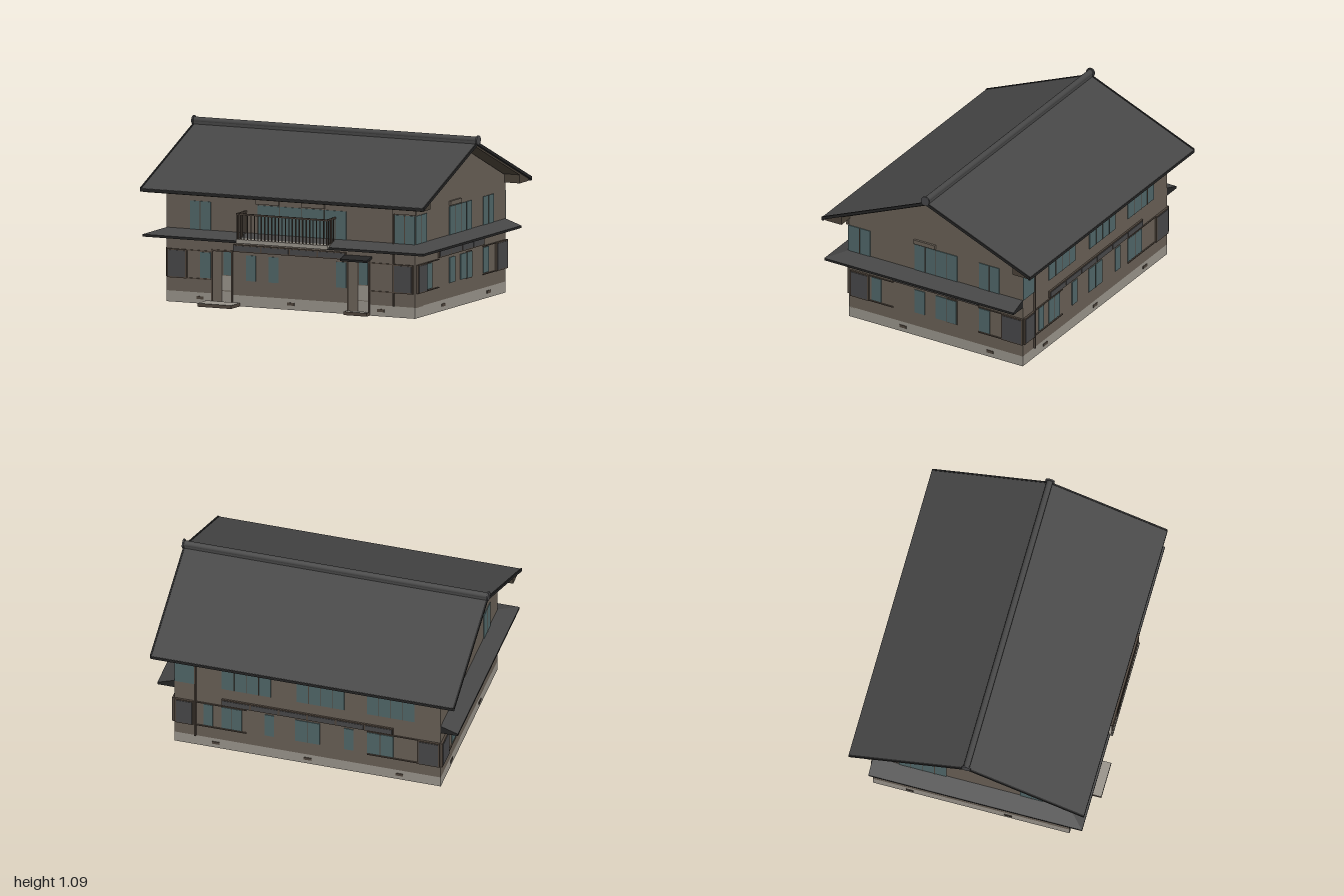
import * as THREE from 'three';

const mat = (name, color, extra = {}) => {
  const m = new THREE.MeshStandardMaterial({ color, ...extra });
  m.name = name;
  return m;
};

export function createModel() {
  const house = new THREE.Group();
  house.name = 'house';
  const wall = mat('wallBrown', 0x685f55);
  const trim = mat('trimBrown', 0x4f453c);
  const stone = mat('foundationGrey', 0x98938a);
  const roof = mat('roofGrey', 0x464646, { side: THREE.DoubleSide });
  const edge = mat('edgeBlack', 0x242424);
  const glass = mat('glassTeal', 0x506668);
  const shutter = mat('shutterGrey', 0x474749);
  const soffit = mat('soffitBrown', 0x4a4238, { side: THREE.DoubleSide });

  const X = 0.87, Z = 0.64;
  const add = (geo, m, name, parent = house) => {
    const mesh = new THREE.Mesh(geo, m);
    mesh.name = name;
    parent.add(mesh);
    return mesh;
  };
  // Box given by its limits on each axis
  const box = (x0, x1, y0, y1, z0, z1, m, name, parent) => {
    const mesh = add(new THREE.BoxGeometry(x1 - x0, y1 - y0, z1 - z0), m, name, parent);
    mesh.position.set((x0 + x1) / 2, (y0 + y1) / 2, (z0 + z1) / 2);
    return mesh;
  };
  const shapeOf = (pts) => new THREE.Shape(pts.map(([a, b]) => new THREE.Vector2(a, b)));
  const extrude = (shape, depth) => new THREE.ExtrudeGeometry(shape, { depth, bevelEnabled: false });
  // Symmetric (z, y) profile extruded along x
  const alongX = (pts, x0, x1, m, name) =>
    add(extrude(shapeOf(pts), x1 - x0).rotateY(Math.PI / 2).translate(x0, 0, 0), m, name);

  // Foundation, floor and front wall, open at the two doorways
  const doors = [[-0.55, -0.41], [0.40, 0.55]];
  const solid = [[-X, -0.55], [-0.41, 0.40], [0.55, X]];
  box(-X, X, 0, 0.07, -Z, -Z + 0.012, stone, 'foundationBack');
  for (const s of [-1, 1]) {
    const x = s * (X - 0.006);
    box(x - 0.006, x + 0.006, 0, 0.07, -Z, Z, stone, 'foundationSide');
  }
  box(-X + 0.01, X - 0.01, 0.066, 0.072, -Z + 0.01, 0.5, wall, 'floor');
  for (const [a, b] of solid) {
    box(a, b, 0, 0.07, Z - 0.012, Z, stone, 'foundationFront');
    box(a, b, 0.066, 0.072, 0.5, Z - 0.01, wall, 'floorFront');
  }
  add(extrude(shapeOf([[-X, 0.07], [-0.55, 0.07], [-0.55, 0.34], [-0.41, 0.34], [-0.41, 0.07], [0.40, 0.07],
    [0.40, 0.34], [0.55, 0.34], [0.55, 0.07], [X, 0.07], [X, 0.74], [-X, 0.74]]), 0.012)
    .translate(0, 0, Z - 0.012), wall, 'frontWall');
  box(-X, X, 0.07, 0.74, -Z, -Z + 0.012, wall, 'backWall');
  const gable = [[-Z, 0.07], [Z, 0.07], [Z, 0.745], [0, 1.015], [-Z, 0.745]];
  alongX(gable, -X, -X + 0.012, wall, 'gableWallRight');
  alongX(gable, X - 0.012, X, wall, 'gableWallLeft');

  // Crawl space: solid middle with a slot, and a ring of open cells
  const base = shapeOf([[-0.69, -0.46], [0.69, -0.46], [0.69, 0.46], [-0.69, 0.46]]);
  base.holes.push(new THREE.Path([[-0.07, -0.24], [-0.07, 0.24], [0.07, 0.24], [0.07, -0.24]]
    .map(([a, b]) => new THREE.Vector2(a, b))));
  add(extrude(base, 0.064).rotateX(Math.PI / 2).translate(0, 0.066, 0), [soffit, stone], 'underfloor');
  for (const z of [-0.08, 0.08]) box(-0.07, 0.07, 0.002, 0.066, z - 0.004, z + 0.004, stone, 'slotDivider');
  for (let i = 1; i < 10; i++) {
    const x = -X + i * 0.174;
    box(x - 0.004, x + 0.004, 0.002, 0.066, -Z + 0.01, -0.46, stone, 'cellWallBack');
    if (!doors.some(([a, b]) => x > a && x < b))
      box(x - 0.004, x + 0.004, 0.002, 0.066, 0.46, Z - 0.01, stone, 'cellWallFront');
  }
  for (let i = 1; i < 8; i++) for (const s of [-1, 1]) {
    const z = -Z + i * 0.16, x = s * 0.775;
    box(x - 0.085, x + 0.085, 0.002, 0.066, z - 0.004, z + 0.004, stone, 'cellWallSide');
  }

  // Recessed entrances
  for (const [a, b] of doors) {
    const g = new THREE.Group();
    g.name = 'entrance';
    house.add(g);
    box(a, b, 0, 0.165, 0.49, 0.5, stone, 'doorBase', g);
    box(a, b, 0.165, 0.34, 0.49, 0.5, wall, 'doorTop', g);
    box(a - 0.01, a, 0, 0.35, 0.49, Z - 0.001, wall, 'reveal', g);
    box(b, b + 0.01, 0, 0.35, 0.49, Z - 0.001, wall, 'reveal', g);
    box(a, b, 0.34, 0.35, 0.49, Z - 0.001, wall, 'doorHead', g);
    const mid = (a + b) / 2;
    box(a + 0.012, mid - 0.005, 0.17, 0.33, 0.5, 0.505, glass, 'doorGlass', g);
    box(mid + 0.005, b - 0.01, 0.17, 0.33, 0.5, 0.505, glass, 'doorGlass', g);
    for (const x of [a, b]) box(x - 0.004, x + 0.004, 0.02, 0.35, Z, Z + 0.008, trim, 'doorPost', g);
    box(a - 0.004, b + 0.004, 0.34, 0.35, Z, Z + 0.008, trim, 'lintel', g);
  }
  box(-0.59, -0.355, 0, 0.022, Z, 0.77, [trim, trim, stone, trim, trim, trim], 'entranceStep');
  box(0.395, 0.555, 0, 0.022, Z, 0.69, [trim, trim, stone, trim, trim, trim], 'sideStep');
  box(0.38, 0.57, 0.353, 0.367, Z, 0.715, edge, 'doorCanopy').rotation.x = 0.25;

  // Plates on the outside walls; u runs along x on front/back and z on the sides
  const plate = (side, u0, u1, y0, y1, t, m, name) => {
    const s = side === 'front' || side === 'left' ? 1 : -1;
    if (side === 'front' || side === 'back') {
      const z = s * (Z + t / 2);
      return box(u0, u1, y0, y1, z - t / 2, z + t / 2, m, name);
    }
    const x = s * (X + t / 2);
    return box(x - t / 2, x + t / 2, y0, y1, u0, u1, m, name);
  };
  const windowPane = (side, u0, u1, y0, y1, n = 2) => {
    plate(side, u0, u1, y0, y1, 0.005, glass, 'window');
    for (let i = 1; i < n; i++) {
      const u = u0 + (u1 - u0) * i / n;
      plate(side, u - 0.002, u + 0.002, y0, y1, 0.007, trim, 'mullion');
    }
  };
  const shutterBox = (side, u0, u1) => {
    plate(side, u0, u1, 0.155, 0.338, 0.014, trim, 'shutterFrame');
    plate(side, u0 + 0.008, u1 - 0.008, 0.163, 0.33, 0.017, shutter, 'shutterPanel');
  };
  const hood = (side, u0, u1) => plate(side, u0, u1, 0.657, 0.685, 0.014, wall, 'blindBox');
  const transom = (side, u0, u1, n) => {
    plate(side, u0, u1, 0.345, 0.392, 0.012, trim, 'transomFrame');
    const w = (u1 - u0) / n;
    for (let i = 0; i < n; i++)
      plate(side, u0 + i * w + 0.006, u0 + (i + 1) * w - 0.006, 0.352, 0.385, 0.015, shutter, 'transomPanel');
  };
  const rails = (side, u0, u1) => {
    for (const y of [0.157, 0.335]) plate(side, u0, u1, y - 0.003, y + 0.003, 0.008, trim, 'wallRail');
  };
  const vents = (side, list) => list.forEach((u) => plate(side, u - 0.025, u + 0.025, 0.028, 0.046, 0.004, trim, 'vent'));
  const upper = (side, list) => list.forEach(([a, b, n]) => windowPane(side, a, b, 0.47, 0.65, n));
  const lower = (side, list) => list.forEach(([a, b, n]) => windowPane(side, a, b, 0.165, 0.327, n));

  // Front
  upper('front', [[-0.705, -0.56, 2], [-0.23, 0.39, 4], [0.73, X, 2]]);
  lower('front', [[-0.635, -0.56, 1], [-0.31, -0.245, 1], [-0.155, -0.085, 1], [0.32, 0.39, 1]]);
  [[-0.24, -0.08], [0.08, 0.24], [0.715, 0.882]].forEach(([a, b]) => hood('front', a, b));
  shutterBox('front', -0.86, -0.725);
  shutterBox('front', 0.725, 0.86);
  transom('front', -0.40, 0.39, 4);
  rails('front', -0.725, -0.55);
  rails('front', 0.55, 0.725);
  vents('front', [-0.635, 0, 0.63]);
  plate('front', 0.717, 0.727, 0.07, 0.70, 0.012, trim, 'downpipe');

  // Back
  upper('back', [[0.73, X, 1], [0.24, 0.56, 4], [-0.24, 0.07, 4], [-0.70, -0.39, 4]]);
  lower('back', [[0.62, 0.68, 1], [0.43, 0.56, 2], [0.22, 0.28, 1], [-0.08, 0.08, 2], [-0.30, -0.24, 1], [-0.56, -0.39, 2]]);
  [[0.24, 0.40], [-0.09, 0.07], [-0.55, -0.39]].forEach(([a, b]) => hood('back', a, b));
  shutterBox('back', 0.745, 0.865);
  shutterBox('back', -0.865, -0.72);
  transom('back', -0.56, 0.56, 6);
  rails('back', 0.40, 0.73);
  rails('back', -0.72, -0.39);
  vents('back', [-0.6, 0, 0.6]);
  plate('back', 0.728, 0.738, 0.07, 0.70, 0.012, trim, 'downpipe');

  // Gable sides
  upper('left', [[0.48, 0.635, 2], [-0.16, 0.155, 4], [-0.47, -0.32, 2]]);
  upper('right', [[0.32, 0.47, 2], [-0.47, -0.16, 4]]);
  hood('left', 0, 0.155);
  for (const side of ['left', 'right']) {
    lower(side, [[0.40, 0.47, 1], [0.08, 0.155, 1], [-0.08, 0, 1], [-0.40, -0.32, 1]]);
    plate(side, -0.16, -0.08, 0.16, 0.333, 0.005, trim, 'sideDoorFrame');
    plate(side, -0.155, -0.085, 0.165, 0.327, 0.008, glass, 'sideDoorGlass');
    shutterBox(side, 0.488, 0.622);
    shutterBox(side, -0.645, -0.49);
    transom(side, -0.32, 0.315, 4);
    rails(side, 0.31, 0.488);
    rails(side, -0.49, -0.315);
    vents(side, [0.24, -0.4]);
  }

  // Pent roof wrapping the front and both sides, swept as strips of (offset, y)
  const stations = [[-X, -Z, -1, 0], [-X, Z, -1, 1], [X, Z, 1, 1], [X, -Z, 1, 0]];
  const strip = (a, b, m, name) => {
    const at = ([x, z, dx, dz], [d, y]) => [x + dx * d, y, z + dz * d];
    const pos = [];
    for (let i = 0; i < 3; i++) {
      const p = at(stations[i], a), q = at(stations[i + 1], a);
      const r = at(stations[i + 1], b), s = at(stations[i], b);
      pos.push(...p, ...q, ...r, ...p, ...r, ...s);
    }
    const geo = new THREE.BufferGeometry();
    geo.setAttribute('position', new THREE.Float32BufferAttribute(pos, 3));
    geo.computeVertexNormals();
    add(geo, m, name);
  };
  const edgeTwo = edge.clone();
  edgeTwo.side = THREE.DoubleSide;
  strip([0.112, 0.417], [0.112, 0.432], edgeTwo, 'pentFascia');
  strip([0.112, 0.432], [0, 0.47], roof, 'pentRoof');
  strip([0, 0.417], [0.112, 0.417], soffit, 'pentSoffit');
  for (const s of [-1, 1])
    add(new THREE.ShapeGeometry(shapeOf([[s * X, 0.417], [s * 0.982, 0.417], [s * 0.982, 0.432], [s * X, 0.47]]))
      .translate(0, 0, -Z), edgeTwo, 'pentEnd');

  // Balcony with barred railing
  box(-0.32, 0.32, 0.42, 0.445, Z, 0.77, stone, 'balconyFloor');
  const bar = (x, z) => box(x - 0.003, x + 0.003, 0.445, 0.603, z - 0.003, z + 0.003, trim, 'railingBar');
  for (let i = 0; i <= 26; i++) bar(-0.314 + i * 0.628 / 26, 0.764);
  for (const s of [-1, 1]) {
    for (let i = 0; i < 5; i++) bar(s * 0.314, 0.645 + i * 0.024);
    box(s * 0.314 - 0.006, s * 0.314 + 0.006, 0.60, 0.61, Z, 0.77, trim, 'sideRail');
  }
  box(-0.32, 0.32, 0.60, 0.61, 0.758, 0.77, trim, 'topRail');

  // Main roof: chevron slab, brown lining, boxed eaves, fascia and ridge
  const chevron = (z, y, top, t) => [[-z, y], [0, top], [z, y], [z, y - t], [0, top - t], [-z, y - t]].reverse();
  alongX(chevron(0.765, 0.724, 1.043, 0.014), -0.99, 0.99, [edge, roof], 'roofSlab');
  alongX(chevron(0.755, 0.714, 1.029, 0.012), -0.975, 0.975, soffit, 'roofLining');
  for (const s of [-1, 1]) {
    alongX([[s * 0.63, 0.70], [s * 0.75, 0.70], [s * 0.75, 0.718], [s * 0.63, 0.765]], -0.975, 0.975, soffit, 'eaveBox');
    const z = s * 0.76;
    box(-0.992, 0.992, 0.704, 0.722, z - 0.007, z + 0.007, edge, 'eaveFascia');
    alongX(chevron(0.766, 0.728, 1.047, 0.02), s * 0.99 - 0.005, s * 0.99 + 0.005, edge, 'bargeboard');
    const end = add(new THREE.CylinderGeometry(0.03, 0.03, 0.01, 20).rotateZ(Math.PI / 2), shutter, 'ridgeEnd');
    end.position.set(s * 0.995, 1.058, 0);
  }
  box(-0.99, 0.99, 1.025, 1.062, -0.018, 0.018, roof, 'ridgeBase');
  const cap = add(new THREE.CylinderGeometry(0.02, 0.02, 1.98, 12).rotateZ(Math.PI / 2), roof, 'ridgeCap');
  cap.position.y = 1.06;
  return house;
}
